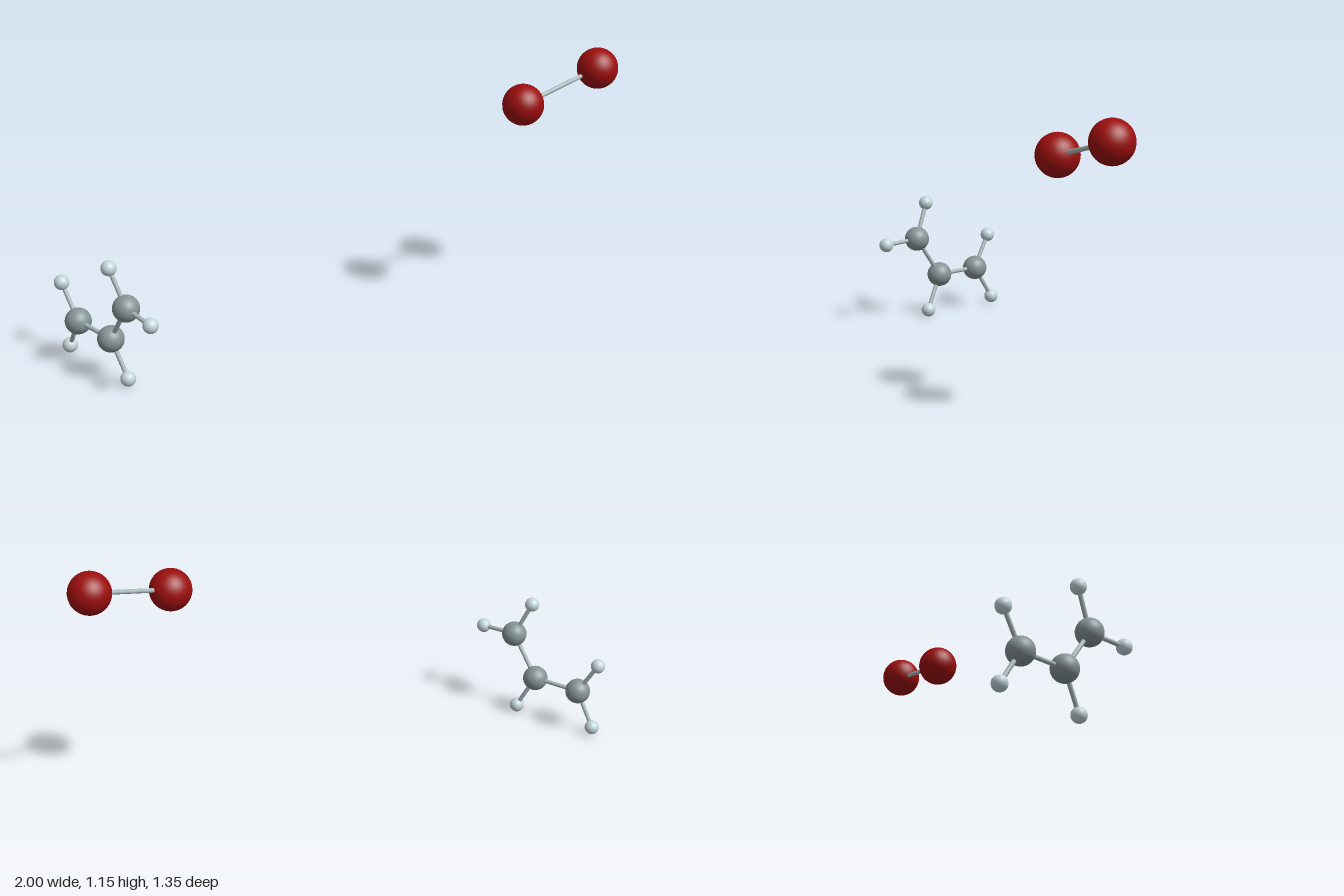
import * as THREE from 'three';

export function createModel() {
  const model = new THREE.Group();
  const material = (color) => new THREE.MeshStandardMaterial({ color });

  // radius and colour for each kind of atom
  const kinds = {
    large: { radius: 0.084, mat: material(0x9c0e0e) },
    medium: { radius: 0.054, mat: material(0x869496) },
    small: { radius: 0.031, mat: material(0xc4d6da) },
  };
  const bondMat = material(0xa9b8ba);

  const atoms = {
    redAtomOuter: ['large', 0.916, 1.064, 0.592],
    redAtomInner: ['large', 0.565, 0.972, 0.49],
    carbonTop: ['medium', -0.948, 0.362, -0.215],
    carbonMiddle: ['medium', -0.932, 0.183, -0.337],
    carbonBack: ['medium', -0.921, 0.183, -0.552],
    hydrogenTop: ['small', -0.965, 0.515, -0.288],
    hydrogenFront: ['small', -0.969, 0.353, -0.049],
    hydrogenMiddle: ['small', -0.921, 0.032, -0.256],
    hydrogenBackUpper: ['small', -0.925, 0.326, -0.64],
    hydrogenBackLower: ['small', -0.902, 0.038, -0.639],
  };
  const bonds = [
    ['redAtomOuter', 'redAtomInner'],
    ['carbonTop', 'carbonMiddle'],
    ['carbonMiddle', 'carbonBack'],
    ['carbonTop', 'hydrogenTop'],
    ['carbonTop', 'hydrogenFront'],
    ['carbonMiddle', 'hydrogenMiddle'],
    ['carbonBack', 'hydrogenBackUpper'],
    ['carbonBack', 'hydrogenBackLower'],
  ];

  // atoms: smooth balls
  const centre = {};
  for (const [name, [kind, x, y, z]] of Object.entries(atoms)) {
    const { radius, mat } = kinds[kind];
    const ball = new THREE.Mesh(new THREE.SphereGeometry(radius, 32, 24), mat);
    ball.name = name;
    ball.position.set(x, y, z);
    centre[name] = ball.position;
    model.add(ball);
  }

  // bonds: thin rods between atom centres
  const up = new THREE.Vector3(0, 1, 0);
  for (const [from, to] of bonds) {
    const along = centre[to].clone().sub(centre[from]);
    const rod = new THREE.Mesh(new THREE.CylinderGeometry(0.009, 0.009, along.length(), 16), bondMat);
    rod.name = `bond ${from} to ${to}`;
    rod.position.copy(centre[from]).addScaledVector(along, 0.5);
    rod.quaternion.setFromUnitVectors(up, along.normalize());
    model.add(rod);
  }
  return model;
}
